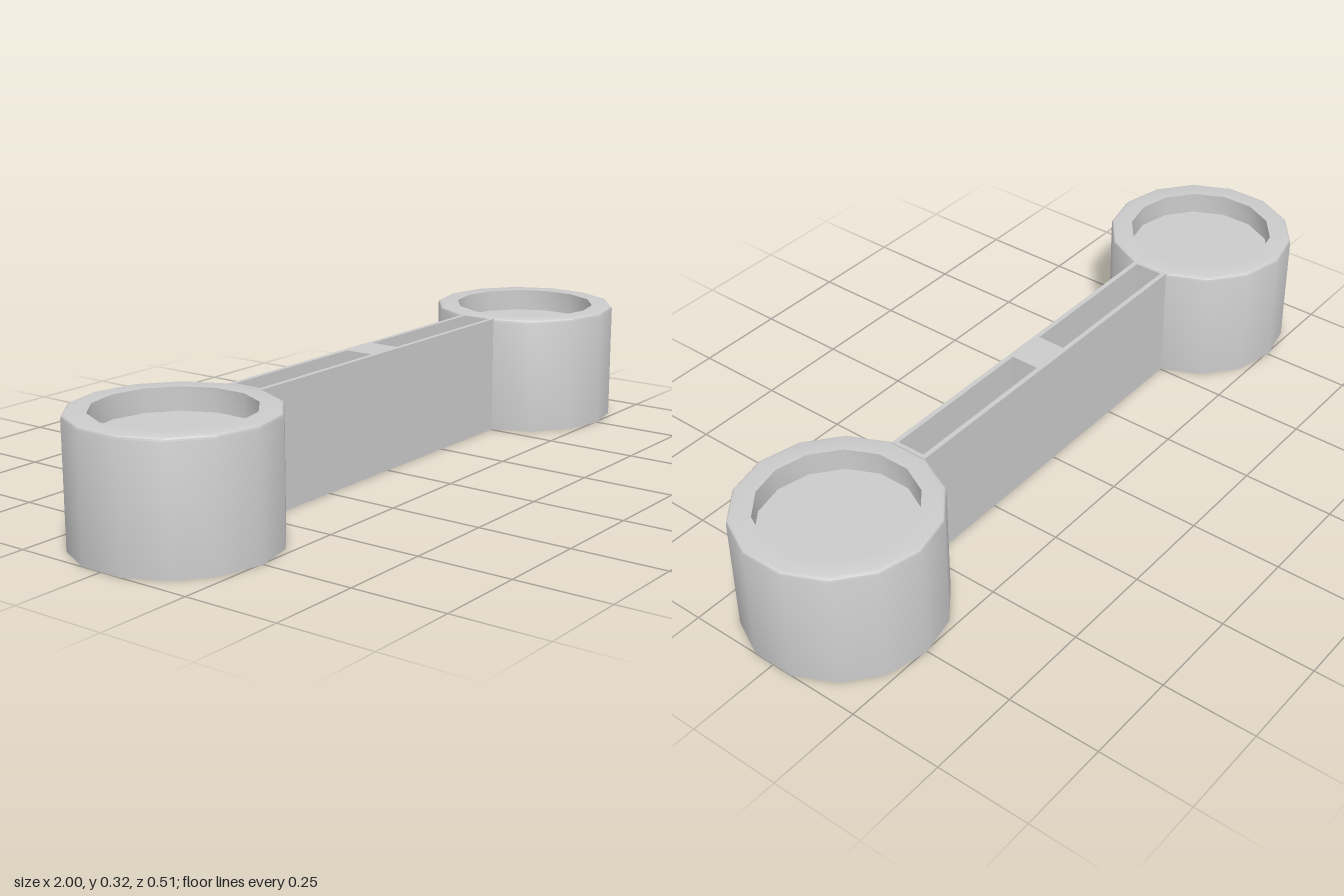
import * as THREE from 'three';
import { toCreasedNormals } from 'three/addons/utils/BufferGeometryUtils.js';

const HEIGHT = 0.322;
const CUP_X = 0.7514, CUP_R = 0.255, CUP_SIDES = 14;
const ARM_END = 0.506, ARM_HALF = 0.052;
const SLOT = { from: 0.055, to: 0.495, half: 0.039, floor: 0.03 };

const material = new THREE.MeshStandardMaterial({ color: 0xcccccc });

function add(parent, name, geometry) {
  const mesh = new THREE.Mesh(geometry, material);
  mesh.name = name;
  parent.add(mesh);
  return mesh;
}

// Counter-clockwise rectangle outline
function rectangle(path, x0, x1, half) {
  path.moveTo(x0, -half);
  path.lineTo(x1, -half);
  path.lineTo(x1, half);
  path.lineTo(x0, half);
  path.closePath();
  return path;
}

// Round cup: hollow below, shallow recess on top, softly rounded rim
function cupGeometry() {
  const bevel = 0.009;
  const profile = [[0, 0.22], [0.2, 0.22], [0.205, 0.012], [0.215, 0], [CUP_R, 0]];
  for (let i = 0; i <= 3; i++) {
    const a = (i / 3) * Math.PI / 2;
    profile.push([CUP_R - bevel + bevel * Math.cos(a), HEIGHT - bevel + bevel * Math.sin(a)]);
  }
  profile.push([0.197, HEIGHT], [0.197, 0.262], [0, 0.262]);
  const points = profile.map(([x, y]) => new THREE.Vector2(x, y));
  return toCreasedNormals(new THREE.LatheGeometry(points, CUP_SIDES), 0.6);
}

// Straight bar with two slots opening upward
function armGeometry() {
  const shape = rectangle(new THREE.Shape(), -ARM_END, ARM_END, ARM_HALF);
  shape.holes.push(
    rectangle(new THREE.Path(), SLOT.from, SLOT.to, SLOT.half),
    rectangle(new THREE.Path(), -SLOT.to, -SLOT.from, SLOT.half),
  );
  const geometry = new THREE.ExtrudeGeometry(shape, { depth: HEIGHT - 0.001, bevelEnabled: false });
  return geometry.rotateX(-Math.PI / 2);
}

export function createModel() {
  const model = new THREE.Group();
  model.name = 'doubleCupBar';

  add(model, 'arm', armGeometry());

  const cup = cupGeometry();
  const floor = new THREE.BoxGeometry(SLOT.to - SLOT.from, SLOT.floor, SLOT.half * 2);
  for (const [side, sign] of [['left', 1], ['right', -1]]) {
    add(model, side + 'Cup', cup).position.x = sign * CUP_X;
    add(model, side + 'SlotFloor', floor).position.set(sign * (SLOT.from + SLOT.to) / 2, SLOT.floor / 2, 0);
  }
  return model;
}
